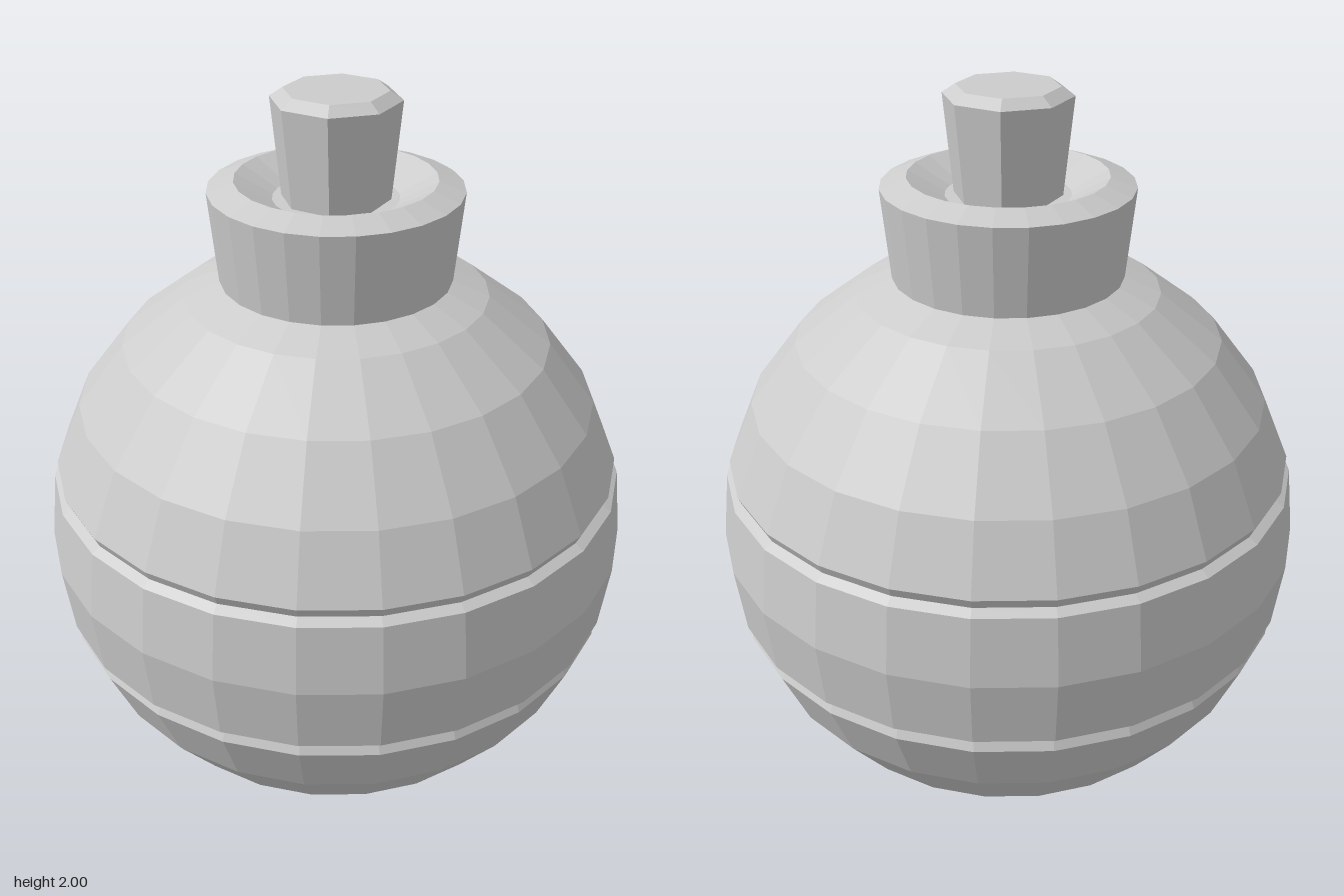
import * as THREE from 'three';

const R = 0.79, CY = 0.795; // sphere radius and centre height

export function createModel() {
  const group = new THREE.Group();
  group.name = 'roundBomb';
  const material = new THREE.MeshStandardMaterial({ color: 0xcccccc, flatShading: true });

  // Faceted solid of revolution from a bottom-to-top [radius, y] profile
  const turn = (name, profile, sides) => {
    const points = profile.map(([r, y]) => new THREE.Vector2(r, y));
    const mesh = new THREE.Mesh(new THREE.LatheGeometry(points, sides), material);
    mesh.name = name;
    group.add(mesh);
  };
  // Point on the sphere at a latitude in degrees
  const ring = (deg) => {
    const a = THREE.MathUtils.degToRad(deg);
    return [R * Math.cos(a), CY + R * Math.sin(a)];
  };

  // Lower shell up to the lower groove
  const lower = [[0, 0], ...[-75, -60, -45, -30].map(ring), [0.757, 0.57]];
  // Middle band between two V grooves
  const band = [[0.745, 0.597], [0.768, 0.612], ring(0), [0.768, 0.978], [0.745, 0.993]];
  // Upper shell up to the neck
  const upper = [[0.757, 1.02], ...[30, 45, 60].map(ring), [0.3, 1.52]];
  turn('body', [...lower, ...band, ...upper], 24);

  // Flared neck with a sloped rim and a shallow funnel inside
  turn('neck', [[0.3, 1.52], [0.323, 1.755], [0.255, 1.78], [0.16, 1.73], [0, 1.73]], 24);

  // Eight-sided plug with a bevelled top
  turn('fusePlug', [[0.135, 1.7], [0.163, 1.978], [0.13, 2], [0, 2]], 8);

  return group;
}
